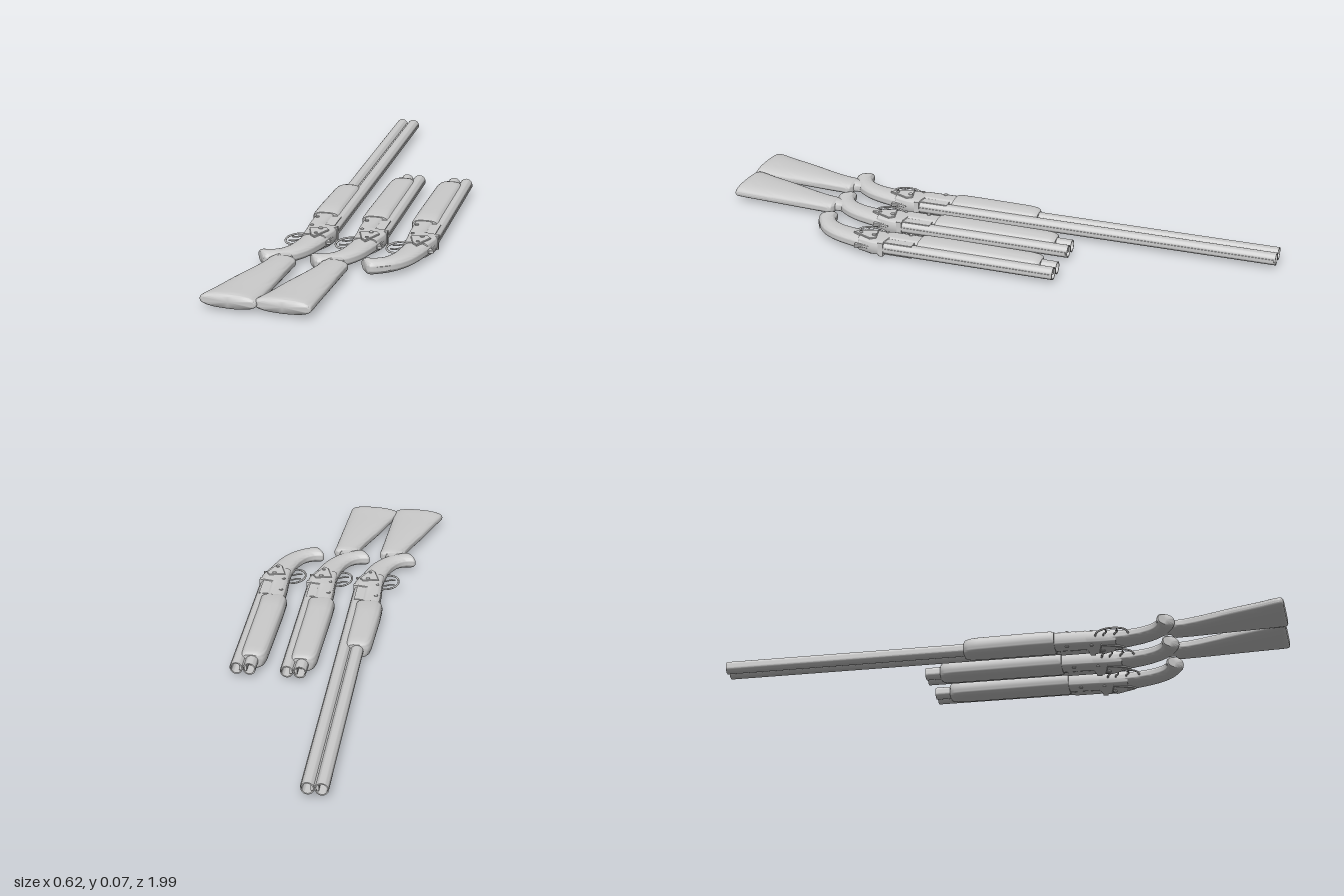
import * as THREE from 'three';
import { toCreasedNormals } from 'three/addons/utils/BufferGeometryUtils.js';

const MID = 0.036; // height of every centre line: the guns lie on their sides
const SPACING = 0.175;
const material = new THREE.MeshStandardMaterial({ color: 0xcccccc, side: THREE.DoubleSide });

function add(group, name, geometry, x = 0, y = MID, z = 0) {
  const mesh = new THREE.Mesh(geometry, material);
  mesh.name = name;
  mesh.position.set(x, y, z);
  group.add(mesh);
  return mesh;
}

// Loft of superellipse rings; a section is [xLower, zLower, xUpper, zUpper, halfThickness]
function loft(sections, power = 2, steps = 1, sides = 32) {
  let rows = sections;
  if (steps > 1) {
    const curves = [0, 2].map(k => new THREE.CatmullRomCurve3(
      sections.map(s => new THREE.Vector3(s[k], s[4], s[k + 1])), false, 'centripetal'));
    const n = (sections.length - 1) * steps;
    rows = Array.from({ length: n + 1 }, (_, i) => {
      const [a, b] = curves.map(c => c.getPoint(i / n));
      return [a.x, a.z, b.x, b.z, (a.y + b.y) / 2];
    });
  }
  const pos = [], index = [];
  const shape = v => Math.sign(v) * Math.abs(v) ** (2 / power);
  for (const [x1, z1, x2, z2, h] of rows) {
    for (let j = 0; j < sides; j++) {
      const t = (j / sides) * Math.PI * 2, c = shape(Math.cos(t)) / 2;
      pos.push((x1 + x2) / 2 + c * (x2 - x1), shape(Math.sin(t)) * h, (z1 + z2) / 2 + c * (z2 - z1));
    }
  }
  const last = rows.length - 1, base = rows.length * sides;
  for (const r of [rows[0], rows[last]]) pos.push((r[0] + r[2]) / 2, 0, (r[1] + r[3]) / 2);
  for (let j = 0; j < sides; j++) {
    const k = (j + 1) % sides;
    for (let i = 0; i < last; i++) {
      const a = i * sides + j, b = i * sides + k;
      index.push(a, b, b + sides, a, b + sides, a + sides);
    }
    index.push(base, k, j, base + 1, last * sides + j, last * sides + k);
  }
  const g = new THREE.BufferGeometry();
  g.setAttribute('position', new THREE.Float32BufferAttribute(pos, 3));
  g.setIndex(index);
  return toCreasedNormals(g, 0.7);
}

// Straight section across the gun at one z
const cut = (z, x1, x2, h) => [x1, z, x2, z, h];

function tube(points, radius) {
  const path = new THREE.CatmullRomCurve3(points.map(([x, z]) => new THREE.Vector3(x, 0, z)));
  return new THREE.TubeGeometry(path, 28, radius, 8);
}

function barrel(muzzle, breech) {
  const len = breech - muzzle;
  const profile = [[0, 0], [0.022, 0], [0.022, len], [0.018, len], [0.018, len - 0.08], [0, len - 0.08]];
  const g = new THREE.LatheGeometry(profile.map(p => new THREE.Vector2(...p)), 28);
  return toCreasedNormals(g.rotateX(-Math.PI / 2), 0.7);
}

// Flat outline in the x-z plane, extruded through the gun's thickness
function plate(points, depth) {
  const shape = new THREE.Shape(points.map(([x, z]) => new THREE.Vector2(x, -z)));
  const g = new THREE.ExtrudeGeometry(shape, {
    depth: depth - 0.004, bevelThickness: 0.002, bevelSize: 0.002, bevelSegments: 1 });
  return g.translate(0, 0, -(depth - 0.004) / 2).rotateX(-Math.PI / 2);
}

function createGun(muzzle, foreEnd, hasStock) {
  const gun = new THREE.Group();

  // Two stacked barrels with joining web and sighting rib
  const len = 0.31 - muzzle, midZ = (0.31 + muzzle) / 2;
  add(gun, 'lowerBarrel', barrel(muzzle, 0.31), 0.067, MID, 0.31);
  add(gun, 'upperBarrel', barrel(muzzle, 0.31), 0.112, MID, 0.31);
  add(gun, 'barrelWeb', new THREE.BoxGeometry(0.026, 0.018, len - 0.01), 0.0895, MID, midZ);
  add(gun, 'sightRib', new THREE.BoxGeometry(0.005, 0.01, len - 0.01), 0.133, MID, midZ);

  // Fore-end
  add(gun, 'foreEnd', loft([
    cut(foreEnd, 0.042, 0.1, 0.024), cut(foreEnd + 0.005, 0.032, 0.106, 0.028),
    cut(foreEnd + 0.02, 0.024, 0.109, 0.031), cut(foreEnd + 0.05, 0.02, 0.11, 0.032),
    cut(0.1, 0.014, 0.11, 0.032), cut(0.175, 0.014, 0.112, 0.032), cut(0.187, 0.018, 0.11, 0.029),
  ], 3.2));

  // Receiver and breech
  add(gun, 'receiver', loft([
    cut(0.18, 0.027, 0.092, 0.026), cut(0.295, 0.03, 0.092, 0.027), cut(0.302, 0.03, 0.134, 0.027),
    cut(0.345, 0.033, 0.134, 0.027), cut(0.4, 0.034, 0.118, 0.026),
  ], 5));
  add(gun, 'breechBlock', new THREE.BoxGeometry(0.034, 0.046, 0.1), 0.104, MID, 0.25);
  add(gun, 'breechFace', new THREE.BoxGeometry(0.046, 0.05, 0.018), 0.113, MID, 0.31);

  // Side plates, pins and screws on both faces
  add(gun, 'sidePlate', plate([[0.05, 0.35], [0.105, 0.338], [0.116, 0.355], [0.085, 0.425], [0.07, 0.41]], 0.061));
  for (const [x, z, r] of [[0.044, 0.23, 0.007], [0.088, 0.35, 0.008], [0.084, 0.4, 0.006], [0.048, 0.315, 0.006]]) {
    add(gun, 'pin', new THREE.CylinderGeometry(r, r, z > 0.34 ? 0.067 : 0.058, 14), x, MID, z);
  }

  // Opening lever
  add(gun, 'topLever', plate([[0.1, 0.36], [0.13, 0.355], [0.125, 0.385], [0.136, 0.405], [0.124, 0.408], [0.105, 0.4]], 0.012));

  // Trigger guard and twin triggers
  add(gun, 'triggerGuard', tube([[0.04, 0.328], [0.004, 0.34], [-0.018, 0.37], [-0.02, 0.41], [-0.004, 0.437], [0.035, 0.447]], 0.0035));
  for (const z of [0.357, 0.395]) {
    add(gun, 'trigger', tube([[0.042, z], [0.022, z + 0.004], [0.008, z + 0.014], [-0.008, z + 0.014]], 0.003));
  }

  // Curved pistol grip
  add(gun, 'grip', loft([
    [0.034, 0.345, 0.13, 0.335, 0.025], [0.032, 0.39, 0.125, 0.385, 0.025],
    [0.026, 0.44, 0.111, 0.445, 0.024], [0.012, 0.495, 0.088, 0.51, 0.023],
    [-0.01, 0.532, 0.052, 0.563, 0.023], [-0.036, 0.549, 0.01, 0.594, 0.024],
    [-0.064, 0.553, -0.027, 0.61, 0.024], [-0.069, 0.558, -0.036, 0.608, 0.018],
  ], 2.4, 5));
  const inlay = add(gun, 'gripInlay', new THREE.BoxGeometry(0.045, 0.015, 0.006), 0.012, MID, 0.591);
  inlay.rotation.y = 0.5;

  // Shoulder stock
  if (hasStock) {
    add(gun, 'stockNeck', loft([
      cut(0.5, 0.025, 0.07, 0.018), cut(0.56, 0.0, 0.05, 0.019), cut(0.59, -0.012, 0.049, 0.019),
      cut(0.61, -0.015, 0.06, 0.021),
    ], 2.4, 4));
    add(gun, 'stock', loft([
      cut(0.592, -0.004, 0.058, 0.016), cut(0.602, -0.018, 0.072, 0.021),
      cut(0.64, -0.024, 0.071, 0.023), cut(0.7, -0.042, 0.068, 0.024),
      cut(0.8, -0.079, 0.063, 0.025), cut(0.9, -0.112, 0.058, 0.025),
      [-0.135, 0.965, 0.054, 0.978, 0.025], [-0.134, 0.974, 0.053, 0.986, 0.023],
      [-0.126, 0.98, 0.046, 0.99, 0.017],
    ], 2.4, 4));
  }
  return gun;
}

export function createModel() {
  const model = new THREE.Group();
  model.name = 'shotgunSet';
  const variants = [
    ['longGun', -1, -0.135, true],
    ['shortGun', -0.31, -0.255, true],
    ['sawnOffGun', -0.31, -0.255, false],
  ];
  variants.forEach(([name, ...options], i) => {
    const gun = createGun(...options);
    gun.name = name;
    gun.position.x = (i - 1) * SPACING;
    model.add(gun);
  });
  return model;
}
